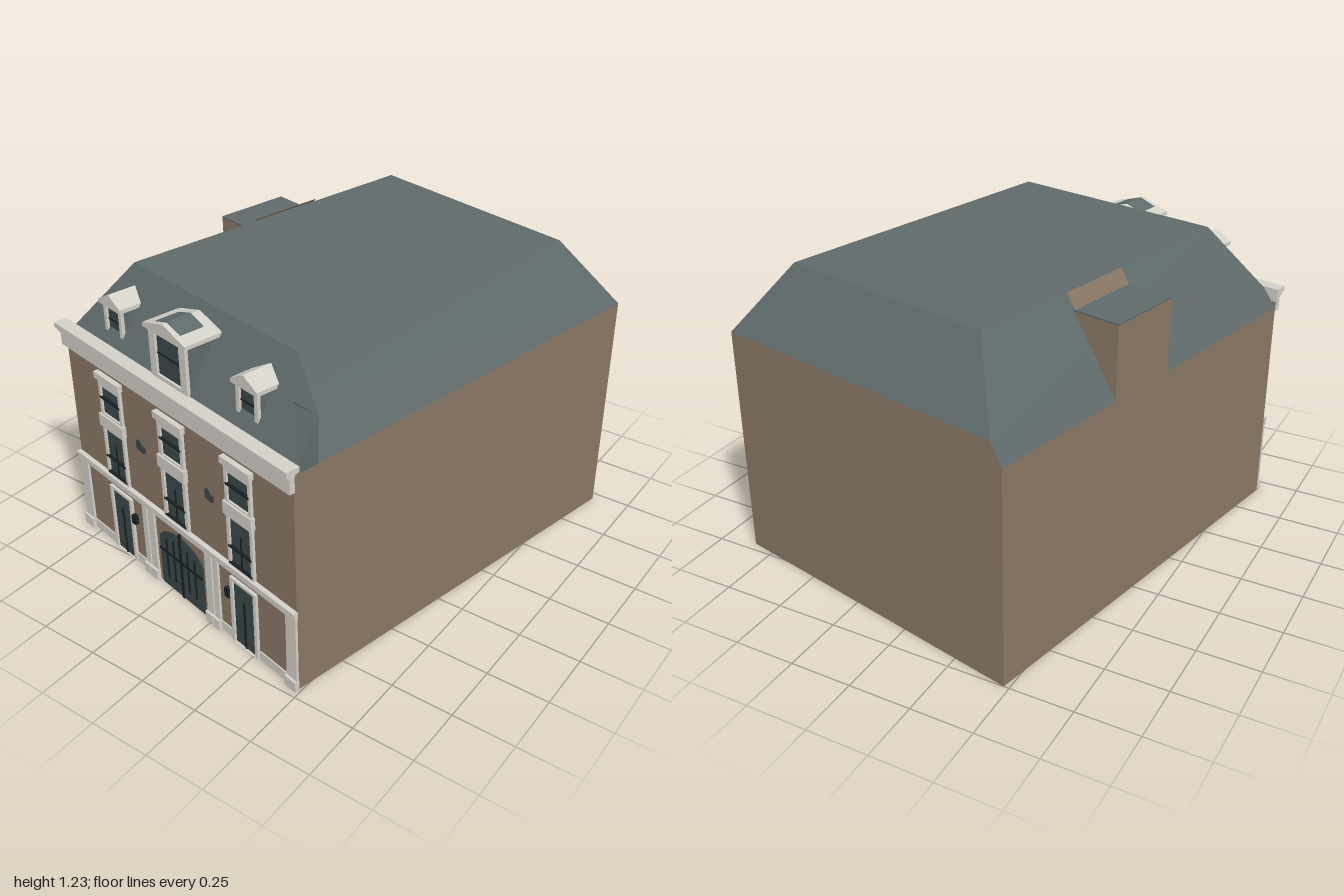
import * as THREE from 'three';

const mat = (name, color, side = THREE.FrontSide) => {
  const m = new THREE.MeshStandardMaterial({ color, side });
  m.name = name;
  return m;
};

export function createModel() {
  const brick = mat('brown wall', 0x8a7764, THREE.DoubleSide);
  const slate = mat('slate roof', 0x5f6a6a, THREE.DoubleSide);
  const stone = mat('pale stone', 0xd3d0c8);
  const glass = mat('dark glass', 0x3a4848);
  const iron = mat('black iron', 0x182022);

  const W = 0.68, D = 0.855; // half width and half depth of the walls
  const model = new THREE.Group();
  model.name = 'townHouse';
  const house = new THREE.Group();
  house.name = 'house';
  house.rotation.y = -0.2138;
  house.position.set(0.005, 0, -0.02);
  model.add(house);

  const add = (name, geo, material, x = 0, y = 0, z = 0, parent = house) => {
    const m = new THREE.Mesh(geo, material);
    m.name = name;
    m.position.set(x, y, z);
    parent.add(m);
    return m;
  };
  // flat polygon from a ring of corners
  const poly = (name, pts, material) => {
    const p = [];
    for (let i = 1; i < pts.length - 1; i++) p.push(...pts[0], ...pts[i], ...pts[i + 1]);
    const g = new THREE.BufferGeometry();
    g.setAttribute('position', new THREE.Float32BufferAttribute(p, 3));
    g.computeVertexNormals();
    return add(name, g, material);
  };
  // block on the facade: centre u, bottom to top, sticking out from the wall
  const block = (name, u, w, y0, y1, out, material, base = D) =>
    add(name, new THREE.BoxGeometry(w, y1 - y0, out), material, u, (y0 + y1) / 2, base + out / 2);
  const rect = (C, w, y0, y1) => new C([[-w / 2, y0], [w / 2, y0], [w / 2, y1], [-w / 2, y1]]
    .map(([x, y]) => new THREE.Vector2(x, y)));
  // flat surround with an opening
  const surround = (name, u, w, y0, y1, hw, h0, h1, z, out = 0.012) => {
    const s = rect(THREE.Shape, w, y0, y1);
    s.holes.push(rect(THREE.Path, hw, h0, h1));
    return add(name, new THREE.ExtrudeGeometry(s, { depth: out, bevelEnabled: false }), stone, u, 0, z);
  };

  // walls, open underneath
  poly('frontWall', [[-W, 0, D], [W, 0, D], [W, 0.95, D], [-W, 0.95, D]], brick);
  poly('leftSideWall', [[W, 0, D], [W, 0, -D], [W, 0.96, -D], [W, 0.93, 0.75], [W, 0.93, D]], brick);
  poly('rightSideWall', [[-W, 0, -D], [-W, 0, D], [-W, 0.88, D], [-W, 0.88, -D]], brick);
  poly('backWall', [[W, 0, -D], [-W, 0, -D], [-W, 0.88, -D], [-0.63, 0.96, -D], [W, 0.96, -D]], brick);

  // mansard roof
  const FL = [-0.45, 1.23, 0.66], FR = [0.485, 1.23, 0.66], BR = [0.5, 1.23, -0.67], BL = [-0.44, 1.23, -0.68];
  const RF = [W, 0.93, 0.75], RB = [W, 0.96, -D], P = [0.555, 1.11, 0.745], Q = [W, 1.11, 0.745];
  const LB = [-0.63, 0.96, -D], LF = [-0.63, 0.96, 0.84], E = [W, 0.96, 0.84];
  poly('roofTop', [FL, FR, BR, BL], slate);
  poly('roofLeftSlope', [P, RF, RB, BR, FR], slate);
  poly('roofBackSlope', [RB, LB, BL, BR], slate);
  poly('roofRightSlope', [FL, BL, LB, [-W, 0.88, -D], [-W, 0.88, D], LF], slate);
  poly('roofFrontSlope', [FR, FL, LF, E, Q, P], slate);
  poly('roofStepEnd', [RF, Q, E, [W, 0.93, 0.84]], slate);
  poly('roofStepBack', [RF, P, Q], slate);

  // lift housing rising from the side wall
  add('sideHousing', new THREE.BoxGeometry(0.225, 0.29, 0.32), brick, -0.567, 1.025, -0.09);
  add('sideHousingRoof', new THREE.BoxGeometry(0.2, 0.006, 0.32), slate, -0.58, 1.173, -0.09);
  poly('sideHousingUpstand', [[-0.495, 1.17, -0.25], [-0.495, 1.17, 0.07], [-0.455, 1.232, 0.07], [-0.455, 1.232, -0.25]], brick);

  // cornice and string course
  block('corniceFrieze', 0, 1.37, 0.868, 0.946, 0.022, stone);
  block('corniceBed', 0, 1.375, 0.93, 0.948, 0.032, stone);
  block('corniceTop', 0, 1.385, 0.946, 0.967, 0.056, stone, D - 0.015);
  block('stringCourse', 0, 1.37, 0.33, 0.352, 0.014, stone);
  block('stringCourseTop', 0, 1.37, 0.352, 0.364, 0.02, stone);

  // plinth and pilasters, mirrored
  for (const s of [-1, 1]) {
    for (const [u, w] of [[0.655, 0.055], [0.226, 0.03], [0.182, 0.04]]) {
      block('pilaster', s * u, w, 0, 0.335, 0.01, stone);
      block('pilasterBase', s * u, w + 0.005, 0, 0.045, 0.02, stone);
    }
    block('plinth', s * 0.55, 0.16, 0, 0.04, 0.005, stone);
    block('plinth', s * 0.275, 0.08, 0, 0.04, 0.005, stone);

    // side doors
    surround('doorSurround', s * 0.39, 0.15, 0, 0.305, 0.118, 0.001, 0.292, D);
    block('door', s * 0.39, 0.12, 0, 0.294, 0.004, glass);
    block('doorSplit', s * 0.39, 0.007, 0, 0.22, 0.009, iron);

    // wall lamps and broken wall ornaments
    block('lamp', s * 0.3, 0.024, 0.2, 0.24, 0.018, iron);
    const o = new THREE.Shape([[-0.03, 0.015], [-0.01, 0.025], [0.01, 0.005], [0.028, 0.005], [0.028, -0.02], [0.01, -0.028], [-0.03, -0.02]]
      .map(([x, y]) => new THREE.Vector2(x * (s < 0 ? 1 : 0.85), y)));
    add('wallOrnament', new THREE.ExtrudeGeometry(o, { depth: 0.005, bevelEnabled: false }), glass, s * 0.212, 0.608, D);
  }

  // arched gate with iron bars
  const arch = new THREE.Shape();
  arch.moveTo(-0.14, 0);
  arch.lineTo(0.14, 0);
  arch.lineTo(0.14, 0.215);
  arch.absellipse(0, 0.215, 0.14, 0.078, 0, Math.PI, false);
  arch.lineTo(-0.14, 0);
  add('gate', new THREE.ExtrudeGeometry(arch, { depth: 0.004, bevelEnabled: false, curveSegments: 12 }), glass, 0, 0, D);
  for (const [u, top] of [[-0.09, 0.24], [-0.045, 0.25], [0, 0.31], [0.045, 0.25], [0.09, 0.24]])
    block('gateBar', u, u ? 0.006 : 0.011, u ? 0.05 : 0, top, 0.009, iron);
  block('gateRail', 0, 0.275, 0.17, 0.18, 0.009, iron);

  // two floors of windows in three bays
  for (const u of [-0.39, 0, 0.39]) {
    const k = u ? 0 : 0.008;
    surround('lowerWindowSurround', u, 0.145 + k, 0.366, 0.6, 0.116, 0.374, 0.582, D);
    block('lowerWindow', u, 0.12, 0.372, 0.584, 0.004, glass);
    surround('upperWindowSurround', u, 0.145 + k, 0.64, 0.81, 0.116, 0.655, 0.777, D);
    block('upperWindow', u, 0.12, 0.65, 0.78, 0.004, glass);
    block('windowApron', u, 0.158 + k, 0.595, 0.648, 0.02, stone);
    block('windowLintel', u, 0.162 + k, 0.807, 0.835, 0.022, stone);
    for (const y of [0.726, 0.455, 0.38]) block('windowRail', u, 0.13, y - 0.004, y + 0.004, 0.015, iron);
    block('windowBar', u, 0.006, 0.375, 0.52, 0.008, iron);
  }

  // gabled roof dormers
  const dormer = (u, w, roofW, eave, apex, front, g0, g1, gw) => {
    const back = 0.695;
    block('dormerBody', u, w - 0.006, 0.95, eave, front - 0.024 - back, slate, back);
    surround('dormerFrame', u, w, 0.965, eave, gw, g0, g1, front - 0.024, 0.014);
    block('dormerWindow', u, gw, g0, g1, 0.004, glass, front - 0.024);
    block('dormerGlazingBar', u, gw, (g0 + g1) / 2 - 0.003, (g0 + g1) / 2 + 0.003, 0.007, iron, front - 0.024);
    const h = roofW / 2;
    const gable = new THREE.Shape([[-h, eave - 0.012], [h, eave - 0.012], [h, eave + 0.004], [0, apex], [-h, eave + 0.004]]
      .map(([x, y]) => new THREE.Vector2(x, y)));
    add('dormerGable', new THREE.ExtrudeGeometry(gable, { depth: front - back, bevelEnabled: false }), stone, u, 0, back);
  };
  dormer(-0.395, 0.115, 0.14, 1.125, 1.168, 0.822, 1.0, 1.105, 0.08);
  dormer(0.395, 0.115, 0.14, 1.125, 1.168, 0.822, 1.0, 1.105, 0.08);
  dormer(0, 0.215, 0.25, 1.17, 1.212, 0.857, 0.982, 1.155, 0.142);
  // slate inset on the middle dormer
  const lid = new THREE.Shape([[-0.075, 1.19], [0.075, 1.19], [0, 1.216]].map(([x, y]) => new THREE.Vector2(x, y)));
  add('middleDormerSlate', new THREE.ExtrudeGeometry(lid, { depth: 0.1, bevelEnabled: false }), slate, 0, 0, 0.735);

  return model;
}
